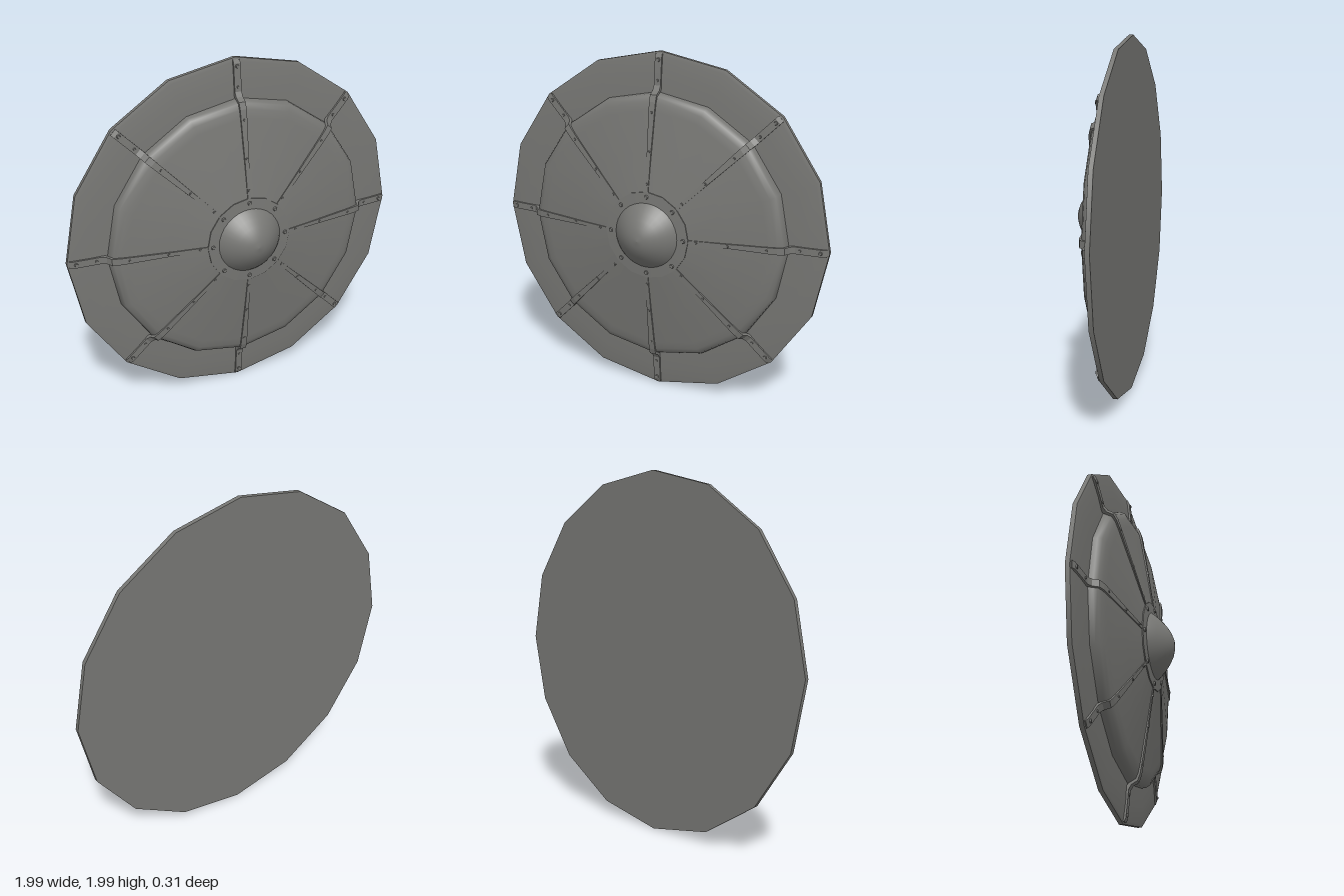
import * as THREE from 'three';

export function createModel() {
  const model = new THREE.Group();
  const shield = new THREE.Group();
  shield.name = 'shield';
  shield.position.y = 1;
  model.add(shield);

  const iron = new THREE.MeshStandardMaterial({ color: 0x777774 });
  iron.name = 'iron grey';

  const add = (name, geometry, parent = shield) => {
    const mesh = new THREE.Mesh(geometry, iron);
    mesh.name = name;
    parent.add(mesh);
    return mesh;
  };

  // Turned part: profile of [radius, z], from back to front
  const turned = (name, profile, sides = 16) => add(name,
    new THREE.LatheGeometry(profile.map(p => new THREE.Vector2(...p)), sides).rotateX(Math.PI / 2));

  // Plate: flat back, thin edge, sloping rim
  turned('back', [[0, -0.155], [0.995, -0.155]]);
  turned('rimEdge', [[0.995, -0.155], [0.995, -0.131]]);
  turned('rim', [[0.995, -0.131], [0.975, -0.126], [0.88, -0.115], [0.77, -0.11]]);

  // Raised dish with a rounded shoulder and a shallow cone
  turned('dish', [[0.78, -0.113], [0.777, -0.085], [0.765, -0.062], [0.735, -0.049], [0.69, -0.04],
    [0.47, -0.005], [0.24, 0.03]]);

  // Centre collar and domed boss
  turned('collarEdge', [[0.252, 0.018], [0.252, 0.034]]);
  turned('collar', [[0.252, 0.034], [0.18, 0.039]]);
  turned('boss', [[0.19, 0.036], [0.172, 0.058], [0.145, 0.084], [0.11, 0.112], [0.075, 0.133],
    [0.038, 0.147], [0.0001, 0.152]], 32);

  // Strap side profile: top line follows the plate, underside is buried
  const top = [[0.985, -0.122], [0.965, -0.113], [0.88, -0.105], [0.815, -0.1], [0.79, -0.085],
    [0.772, -0.052], [0.735, -0.039], [0.69, -0.031], [0.47, 0.002], [0.25, 0.033]];
  const under = top.map(([r, z]) => [r - 0.006, z - 0.02]).reverse();
  const strapShape = new THREE.Shape([...top, ...under].map(p => new THREE.Vector2(...p)));
  const strapGeometry = new THREE.ExtrudeGeometry(strapShape, { depth: 1, bevelEnabled: false });
  const pos = strapGeometry.attributes.position;
  for (let i = 0; i < pos.count; i++) {
    // Width narrows towards the centre
    const width = 0.018 + 0.022 * THREE.MathUtils.smoothstep(pos.getX(i), 0.25, 0.85);
    pos.setZ(i, (pos.getZ(i) - 0.5) * width);
  }
  strapGeometry.rotateX(Math.PI / 2);
  strapGeometry.computeVertexNormals();

  // Rivets along each strap: [radius from centre, z, rivet size]
  const rivets = [[0.95, -0.111, 0.013], [0.84, -0.101, 0.009], [0.68, -0.029, 0.008],
    [0.47, 0.003, 0.008], [0.295, 0.028, 0.008], [0.222, 0.037, 0.015]];
  const rivetGeometry = new THREE.CylinderGeometry(0.65, 1, 0.8, 8).rotateX(Math.PI / 2);

  for (let i = 0; i < 8; i++) {
    const rib = new THREE.Group();
    rib.name = 'rib' + (i + 1);
    rib.rotation.z = i * Math.PI / 4;
    shield.add(rib);
    add('strap', strapGeometry, rib);
    for (const [r, z, size] of rivets) {
      const rivet = add('rivet', rivetGeometry, rib);
      rivet.position.set(r, 0, z);
      rivet.scale.setScalar(size);
    }
  }
  return model;
}
